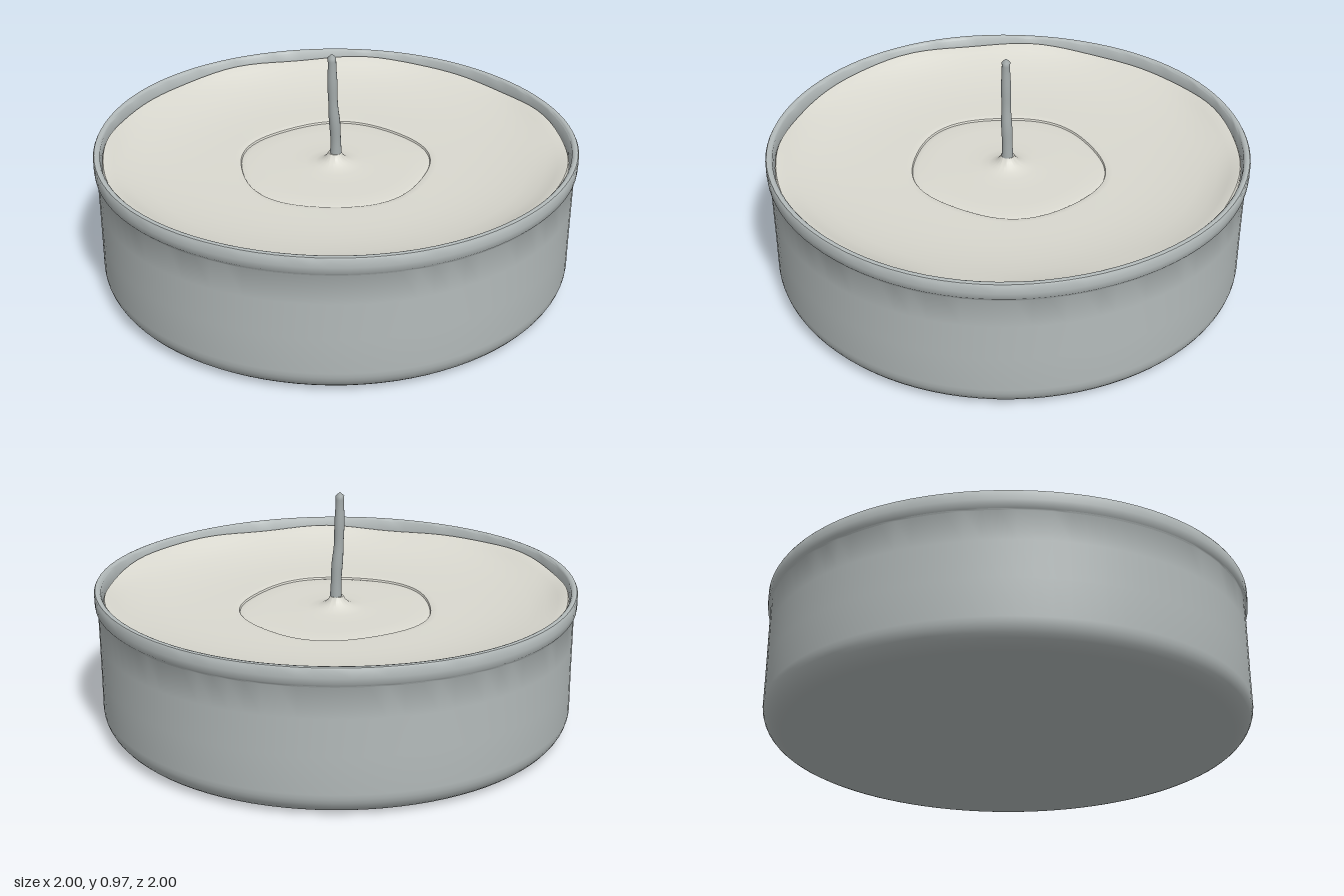
import * as THREE from 'three';
import { mergeVertices, toCreasedNormals } from 'three/addons/utils/BufferGeometryUtils.js';

const SEGMENTS = 96;
const material = (color) => new THREE.MeshStandardMaterial({ color });

// Lathe a profile, then move each vertex with rule(radius, y, angle) -> [radius, y]
function softLathe(profile, rule, crease) {
  const geo = new THREE.LatheGeometry(profile.map(([x, y]) => new THREE.Vector2(x, y)), SEGMENTS);
  const pos = geo.attributes.position;
  for (let i = 0; i < pos.count; i++) {
    const x = pos.getX(i), z = pos.getZ(i);
    const a = Math.atan2(z, x);
    const [r, y] = rule(Math.hypot(x, z), pos.getY(i), a);
    pos.setXYZ(i, r * Math.cos(a), y, r * Math.sin(a));
  }
  geo.deleteAttribute('uv');
  geo.deleteAttribute('normal');
  return toCreasedNormals(mergeVertices(geo, 1e-5), crease);
}

// Slight hand-pressed unevenness shared by the cup and the wax edge
const dent = (a) => 0.004 * Math.cos(3 * a + 0.4) + 0.003 * Math.cos(5 * a + 1.2) - 0.004;
const bump = (r, centre, width) => Math.exp(-(((r - centre) / width) ** 2));

function createCup() {
  const profile = [[0, 0.006], [0.5, 0.006], [0.87, 0.004]];
  // rounded bottom corner
  for (let i = 1; i <= 8; i++) {
    const t = (i / 8) * Math.PI / 2;
    profile.push([0.89 + 0.098 * Math.sin(t), 0.102 - 0.098 * Math.cos(t)]);
  }
  // wall, rolled rim band, inner wall and floor
  profile.push([0.988, 0.25], [0.989, 0.4], [0.99, 0.522], [0.993, 0.528], [1, 0.536],
    [1.002, 0.56], [1.002, 0.592], [0.998, 0.599], [0.99, 0.601], [0.98, 0.599],
    [0.974, 0.592], [0.972, 0.54], [0.968, 0.1], [0.89, 0.03], [0, 0.03]);
  const geo = softLathe(profile, (r, y, a) =>
    [r + dent(a) * Math.min(1, r) * Math.min(1, 0.3 + y), y], 0.7);
  const cup = new THREE.Mesh(geo, material(0xb4bbbb));
  cup.name = 'metalCup';
  return cup;
}

function createWax() {
  const profile = [[0.955, 0.06], [0.964, 0.45], [0.966, 0.553], [0.961, 0.562], [0.95, 0.56],
    [0.92, 0.548], [0.87, 0.532], [0.8, 0.515], [0.7, 0.499], [0.6, 0.49], [0.5, 0.486],
    [0.43, 0.485], [0.406, 0.484], [0.401, 0.482], [0.398, 0.474], [0.392, 0.476],
    [0.375, 0.479], [0.3, 0.48], [0.2, 0.481], [0.12, 0.483], [0.08, 0.488], [0.055, 0.498],
    [0.037, 0.513], [0.028, 0.53], [0, 0.53]];
  const geo = softLathe(profile, (r, y, a) => {
    // uneven melt pool outline and wavy height where the wax meets the wall
    const pool = 0.007 * Math.cos(2 * a + 2.7) + 0.008 * Math.cos(5 * a + 2.6);
    const edge = 0.008 * Math.sin(3 * a + 0.6) + 0.006 * Math.sin(7 * a) + 0.004 * Math.sin(11 * a + 2);
    const wave = y > 0.5 ? edge * bump(r, 0.966, 0.06) : 0;
    return [r + pool * bump(r, 0.4, 0.09) + dent(a) * 0.85 * r ** 8, y + wave];
  }, 0.6);
  const wax = new THREE.Mesh(geo, material(0xdad9d0));
  wax.name = 'wax';
  return wax;
}

function createWick() {
  const path = new THREE.CatmullRomCurve3([
    [0.004, 0.46, 0], [0.004, 0.56, 0], [0.002, 0.64, 0.003], [-0.004, 0.74, 0.009],
    [-0.007, 0.84, 0.011], [-0.008, 0.91, 0.012], [-0.009, 0.975, 0.012],
  ].map((p) => new THREE.Vector3(...p)));
  const rows = 32, sides = 14;
  const geo = new THREE.TubeGeometry(path, rows, 1, sides);
  const pos = geo.attributes.position;
  const v = new THREE.Vector3();
  // taper upwards and close the tip with a rounded end
  for (let i = 0; i < pos.count; i++) {
    const t = Math.floor(i / (sides + 1)) / rows;
    const centre = path.getPointAt(t);
    const tip = Math.sqrt(Math.max(0, 1 - Math.max(0, (t - 0.965) / 0.035) ** 2));
    const radius = (0.025 - 0.007 * t + 0.0012 * Math.sin(t * 19)) * tip;
    v.fromBufferAttribute(pos, i).sub(centre).multiplyScalar(radius).add(centre);
    pos.setXYZ(i, v.x, v.y, v.z);
  }
  geo.deleteAttribute('uv');
  geo.deleteAttribute('normal');
  const merged = mergeVertices(geo, 1e-5);
  merged.computeVertexNormals();
  const wick = new THREE.Mesh(merged, material(0xa4abab));
  wick.name = 'wick';
  return wick;
}

export function createModel() {
  const model = new THREE.Group();
  model.name = 'tealightCandle';
  model.add(createCup(), createWax(), createWick());
  return model;
}
